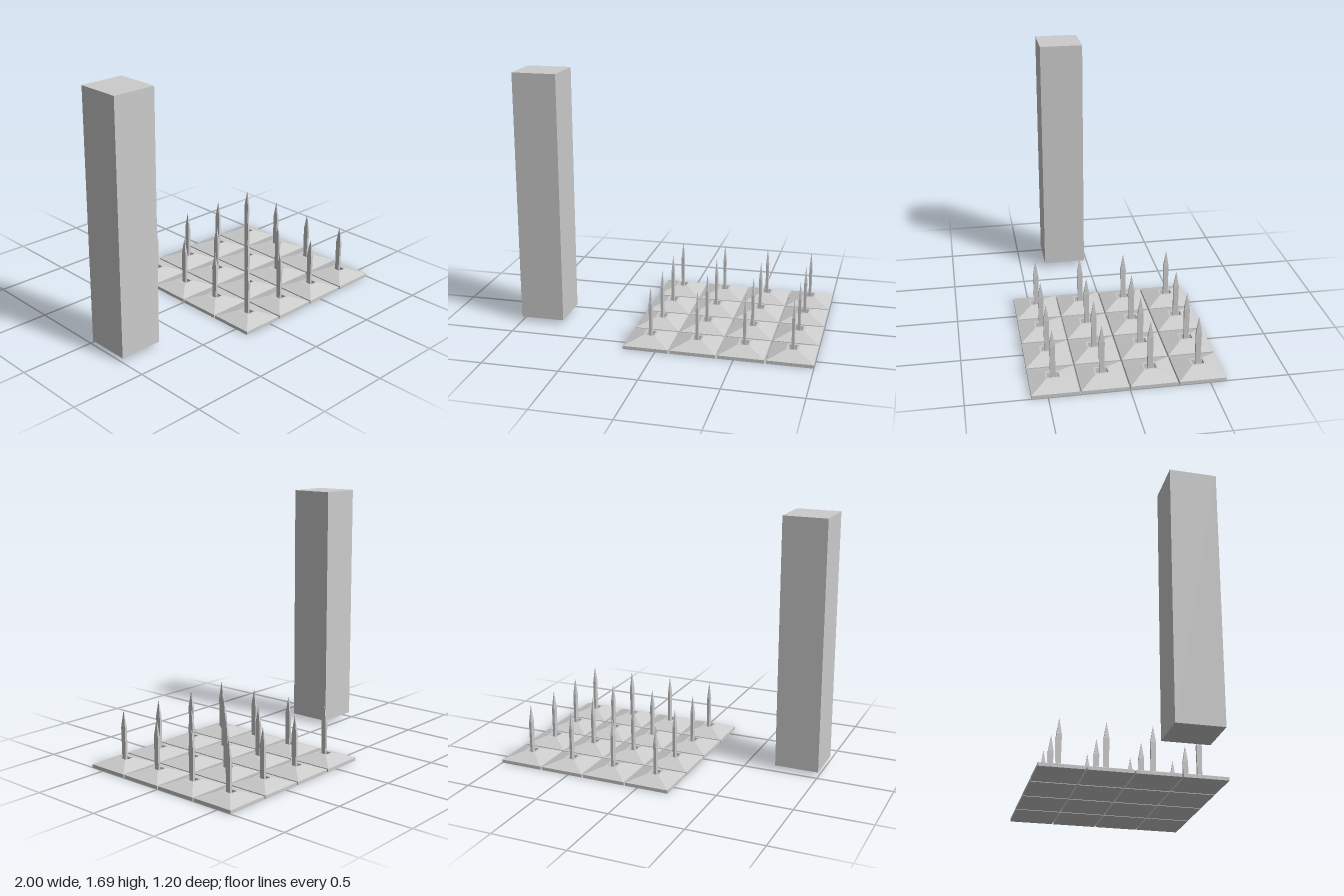
import * as THREE from 'three';

const material = new THREE.MeshStandardMaterial({ color: 0xcccccc, flatShading: true });

// Skin a stack of rectangles [width, depth, y], capped at both ends
function loftRects(rings) {
  const pos = [];
  const corners = ([w, d, y]) => [[-1, 1], [1, 1], [1, -1], [-1, -1]]
    .map(([sx, sz]) => [sx * w / 2, y, sz * d / 2]);
  const quad = (a, b, c, d) => pos.push(...a, ...b, ...c, ...a, ...c, ...d);
  const loops = rings.map(corners);
  for (let r = 0; r < loops.length - 1; r++) {
    for (let i = 0; i < 4; i++) {
      const j = (i + 1) % 4;
      quad(loops[r][i], loops[r][j], loops[r + 1][j], loops[r + 1][i]);
    }
  }
  const first = loops[0];
  quad(first[3], first[2], first[1], first[0]);
  quad(...loops[loops.length - 1]);
  const geometry = new THREE.BufferGeometry();
  geometry.setAttribute('position', new THREE.Float32BufferAttribute(pos, 3));
  geometry.computeVertexNormals();
  return geometry;
}

function addMesh(parent, name, geometry) {
  const mesh = new THREE.Mesh(geometry, material);
  mesh.name = name;
  parent.add(mesh);
  return mesh;
}

export function createModel() {
  const model = new THREE.Group();
  model.name = 'spikeTrapAndPillar';

  // Square pillar, floating just above the ground
  const pillar = addMesh(model, 'pillar', new THREE.BoxGeometry(0.292, 1.66, 0.294));
  pillar.position.set(-0.854, 0.86, 0.173);

  // Tile: thin slab, sloped top, flat rim and a steep socket
  const tileGeometry = loftRects([
    [0.294, 0.294, 0], [0.294, 0.294, 0.022], [0.08, 0.09, 0.062],
    [0.052, 0.072, 0.062], [0.045, 0.065, 0.01],
  ]);
  // Flat blade rising from the socket to a point
  const spikeGeometry = loftRects([
    [0.016, 0.03, 0.008], [0.018, 0.036, 0.265], [0.001, 0.001, 0.378],
  ]);

  // Four by four field of tiles
  const field = new THREE.Group();
  field.name = 'spikeField';
  for (let ix = 0; ix < 4; ix++) {
    for (let iz = 0; iz < 4; iz++) {
      const unit = new THREE.Group();
      unit.name = 'spikeTile';
      unit.position.set(-0.064 + ix * 0.3055, 0, (iz - 1.5) * 0.303);
      addMesh(unit, 'tile', tileGeometry);
      addMesh(unit, 'spike', spikeGeometry);
      field.add(unit);
    }
  }
  model.add(field);
  return model;
}
